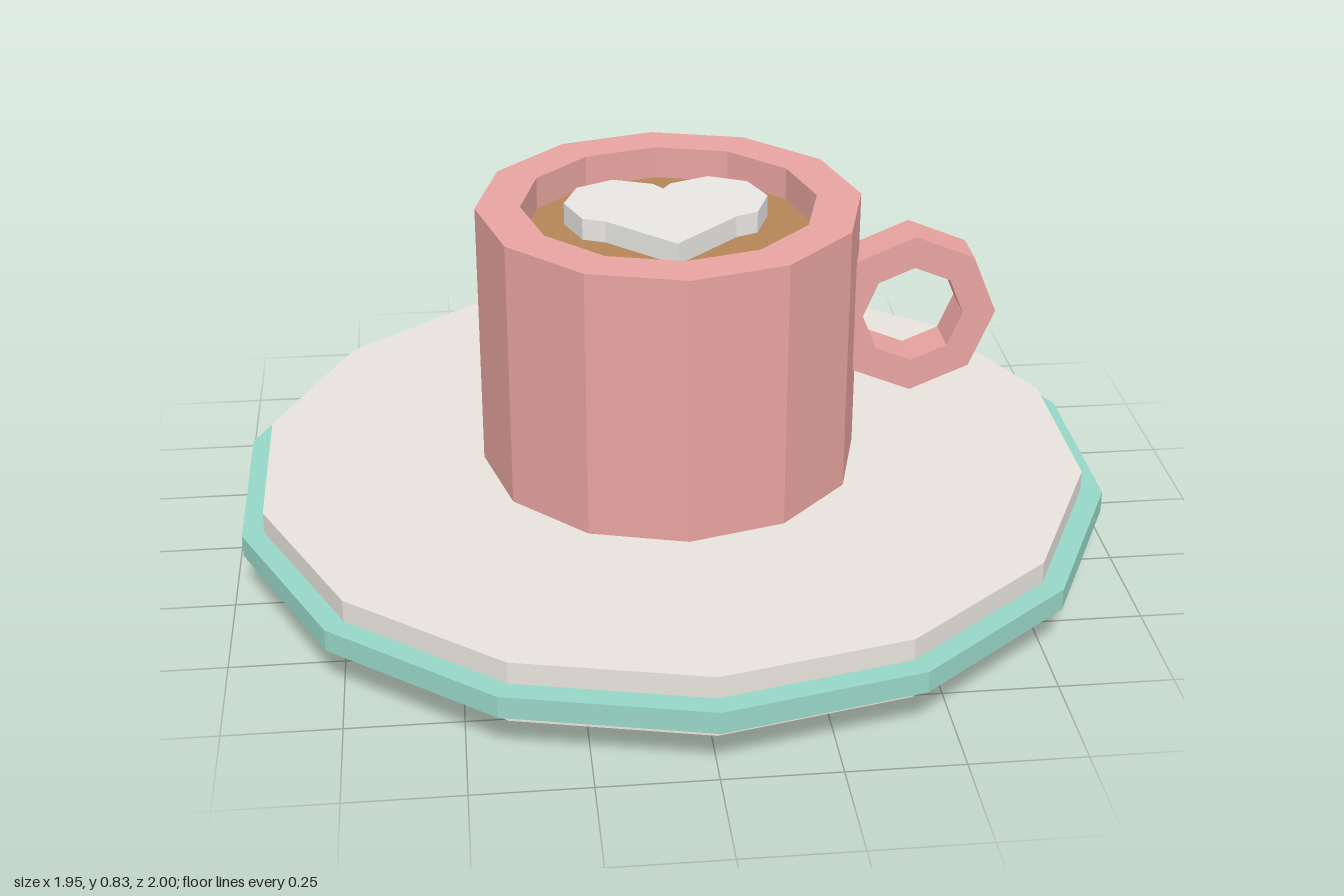
import * as THREE from 'three';

const material = (name, color) => {
  const m = new THREE.MeshStandardMaterial({ color, flatShading: true });
  m.name = name;
  return m;
};

export function createModel() {
  const group = new THREE.Group();
  const porcelain = material('porcelain', 0xe8e3dc);
  const teal = material('teal glaze', 0x97d6c6);
  const pink = material('pink glaze', 0xe8a4a1);
  const coffeeBrown = material('coffee brown', 0xb48557);
  const foam = material('milk foam', 0xe8e7e4);

  const add = (name, geometry, mat) => {
    const mesh = new THREE.Mesh(geometry, mat);
    mesh.name = name;
    group.add(mesh);
    return mesh;
  };
  // Faceted disc between two heights
  const disc = (name, radius, y0, y1, sides, mat) =>
    add(name, new THREE.CylinderGeometry(radius, radius, y1 - y0, sides).translate(0, (y0 + y1) / 2, 0), mat);
  // Faceted ring turned from a [radius, height] profile
  const turned = (profile, sides) =>
    new THREE.LatheGeometry(profile.map(([r, y]) => new THREE.Vector2(r, y)), sides);

  // Saucer
  disc('saucerFoot', 0.655, 0, 0.07, 12, porcelain);
  disc('saucerPlate', 0.95, 0.07, 0.21, 14, porcelain);
  disc('saucerRim', 1, 0.11, 0.16, 14, teal);

  // Hollow cup with a thick wall and a floor
  add('cup', turned([[0, 0.21], [0.43, 0.21], [0.43, 0.83], [0.33, 0.83], [0.33, 0.29], [0, 0.29]], 12), pink);

  // Octagonal ring handle with a square section
  const handle = turned([[0.115, -0.05], [0.19, -0.05], [0.19, 0.05], [0.115, 0.05], [0.115, -0.05]], 8);
  add('handle', handle.rotateX(Math.PI / 2).translate(0.55, 0.55, 0), pink);

  // Coffee filling the cup
  disc('coffee', 0.33, 0.3, 0.755, 12, coffeeBrown);

  // Heart of foam: right half outline as [x, z], mirrored to the left
  const half = [[0.145, 0.043], [0.195, 0.022], [0.23, -0.07], [0.195, -0.16], [0.11, -0.2], [0.02, -0.165]];
  const outline = [
    [0, 0.18], ...half, [0, -0.135],
    ...half.slice().reverse().map(([x, z]) => [-x, z]),
  ];
  const heart = new THREE.Shape(outline.map(([x, z]) => new THREE.Vector2(x, -z)));
  add('foamHeart', new THREE.ExtrudeGeometry(heart, { depth: 0.055, bevelEnabled: false })
    .rotateX(-Math.PI / 2).translate(0, 0.75, 0), foam);

  return group;
}
